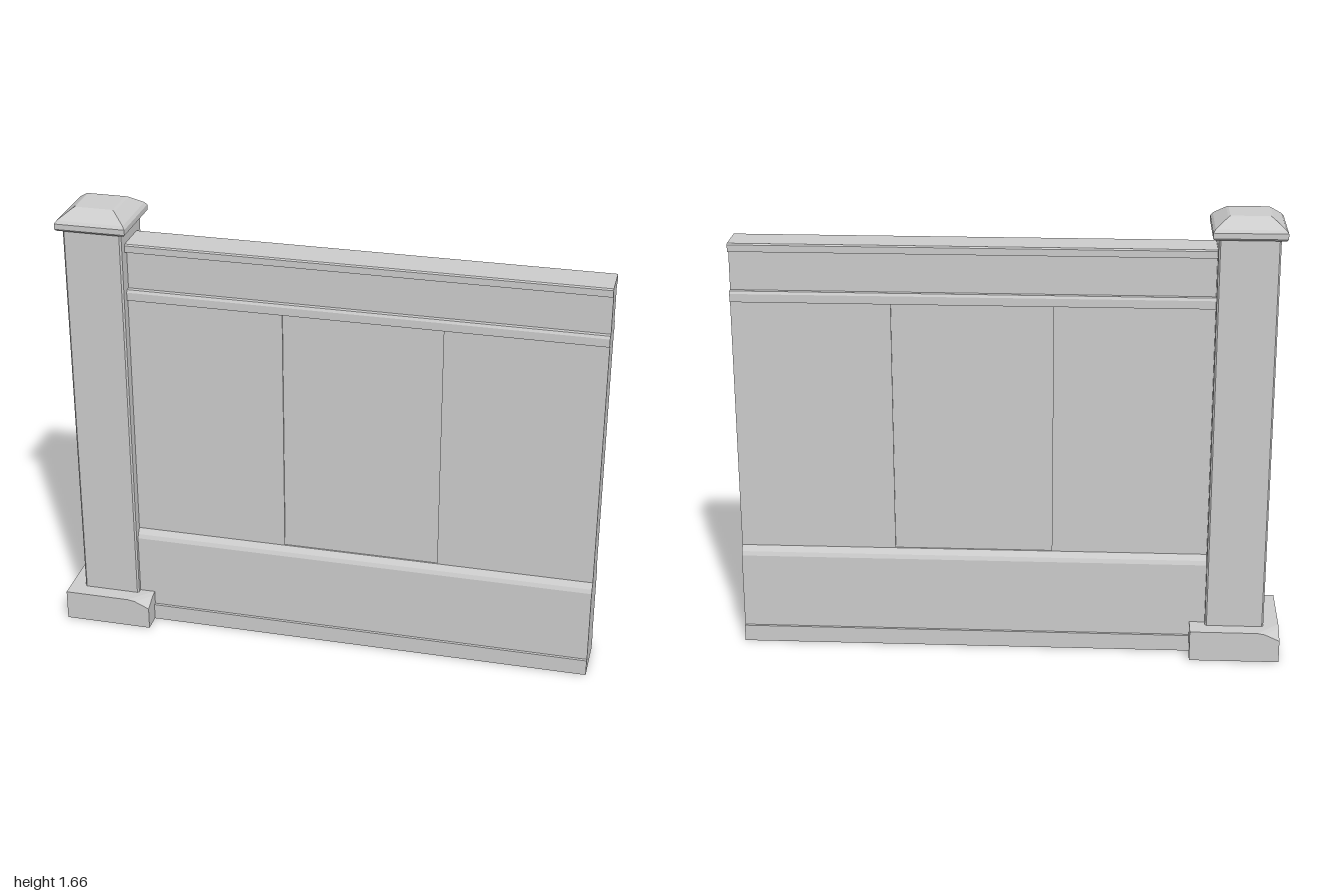
import * as THREE from 'three';

const POST_X = -0.835;
const RECESS = [-0.155, 0.425];

const material = new THREE.MeshStandardMaterial({ color: 0xcccccc, flatShading: true });
const shellMaterial = new THREE.MeshStandardMaterial({ color: 0xcccccc, flatShading: true, side: THREE.DoubleSide });

function part(name, geometry, mat = material) {
  const mesh = new THREE.Mesh(geometry, mat);
  mesh.name = name;
  return mesh;
}

// Wall cross-section as [z, y] points; inset sinks the middle field on both faces
function wallProfile(inset) {
  const front = [[0.088, 0.06], [0.088, 0.345], [0.082, 0.36], [0.066, 0.38],
    [0.066 - inset, 0.38], [0.066 - inset, 1.325], [0.075, 1.325], [0.075, 1.355],
    [0.07, 1.365], [0.053, 1.365], [0.053, 1.505], [0.075, 1.51], [0.075, 1.535], [0.07, 1.54]];
  const back = front.map(([z, y]) => [-z + 0.007, y]).reverse();
  return [...front, ...back];
}

function wallSection(name, x0, x1, inset) {
  const shape = new THREE.Shape(wallProfile(inset).map(([z, y]) => new THREE.Vector2(-z, y)));
  const geo = new THREE.ExtrudeGeometry(shape, { depth: x1 - x0, bevelEnabled: false });
  geo.rotateY(Math.PI / 2).translate(x0, 0, 0);
  return part(name, geo);
}

// Box standing on the ground with no underside
function openBox(w, h, d, segW = 1, segD = 1) {
  const geo = new THREE.BoxGeometry(w, h, d, segW, 1, segD);
  const bottom = geo.groups[3];
  const index = Array.from(geo.index.array);
  index.splice(bottom.start, bottom.count);
  geo.setIndex(index);
  geo.clearGroups();
  return geo.translate(0, h / 2, 0);
}

// Post foot with two broken top corners
function postFoot() {
  const w = 0.33, h = 0.115, d = 0.338;
  const geo = openBox(w, h, d, 12, 12);
  const pos = geo.attributes.position;
  for (let i = 0; i < pos.count; i++) {
    if (pos.getY(i) < h / 2) continue;
    const x = pos.getX(i), z = pos.getZ(i);
    for (const s of [1, -1]) {
      const dist = (w / 2 - s * x) + (d / 2 - s * z);
      pos.setY(i, pos.getY(i) - 0.03 * Math.max(0, 1 - dist / 0.065));
    }
  }
  geo.computeVertexNormals();
  return part('postFoot', geo, shellMaterial);
}

// Square shaft with slightly worn edges
function postShaft() {
  const hx = 0.108, hz = 0.11, c = 0.006;
  const shape = new THREE.Shape([
    [hx, -hz + c], [hx, hz - c], [hx - c, hz], [-hx + c, hz],
    [-hx, hz - c], [-hx, -hz + c], [-hx + c, -hz], [hx - c, -hz],
  ].map(([x, y]) => new THREE.Vector2(x, y)));
  const geo = new THREE.ExtrudeGeometry(shape, { depth: 1.495, bevelEnabled: false });
  geo.rotateX(-Math.PI / 2).translate(0, 0.105, 0);
  return part('postShaft', geo);
}

// Square cap with sloping sides and a flat top
function postCap() {
  const profile = [[0, 1.59], [0.124, 1.59], [0.13, 1.597], [0.13, 1.617], [0.122, 1.628],
    [0.078, 1.661], [0.07, 1.665], [0, 1.665]];
  const points = profile.map(([r, y]) => new THREE.Vector2(r * Math.SQRT2, y));
  return part('postCap', new THREE.LatheGeometry(points, 4, Math.PI / 4));
}

export function createModel() {
  const model = new THREE.Group();
  model.name = 'wallWithPost';

  const post = new THREE.Group();
  post.name = 'post';
  post.position.x = POST_X;
  post.add(postFoot(), postShaft(), postCap());

  const wall = new THREE.Group();
  wall.name = 'wall';
  wall.add(
    wallSection('wallNearPost', -0.78, RECESS[0], 0),
    wallSection('recessedPanel', RECESS[0], RECESS[1], 0.006),
    wallSection('wallEnd', RECESS[1], 1, 0),
  );

  // Skirting under the wall
  const skirting = part('skirting', openBox(1.78, 0.062, 0.19), shellMaterial);
  skirting.position.set(0.11, 0, 0.004);
  wall.add(skirting);

  model.add(post, wall);
  return model;
}
